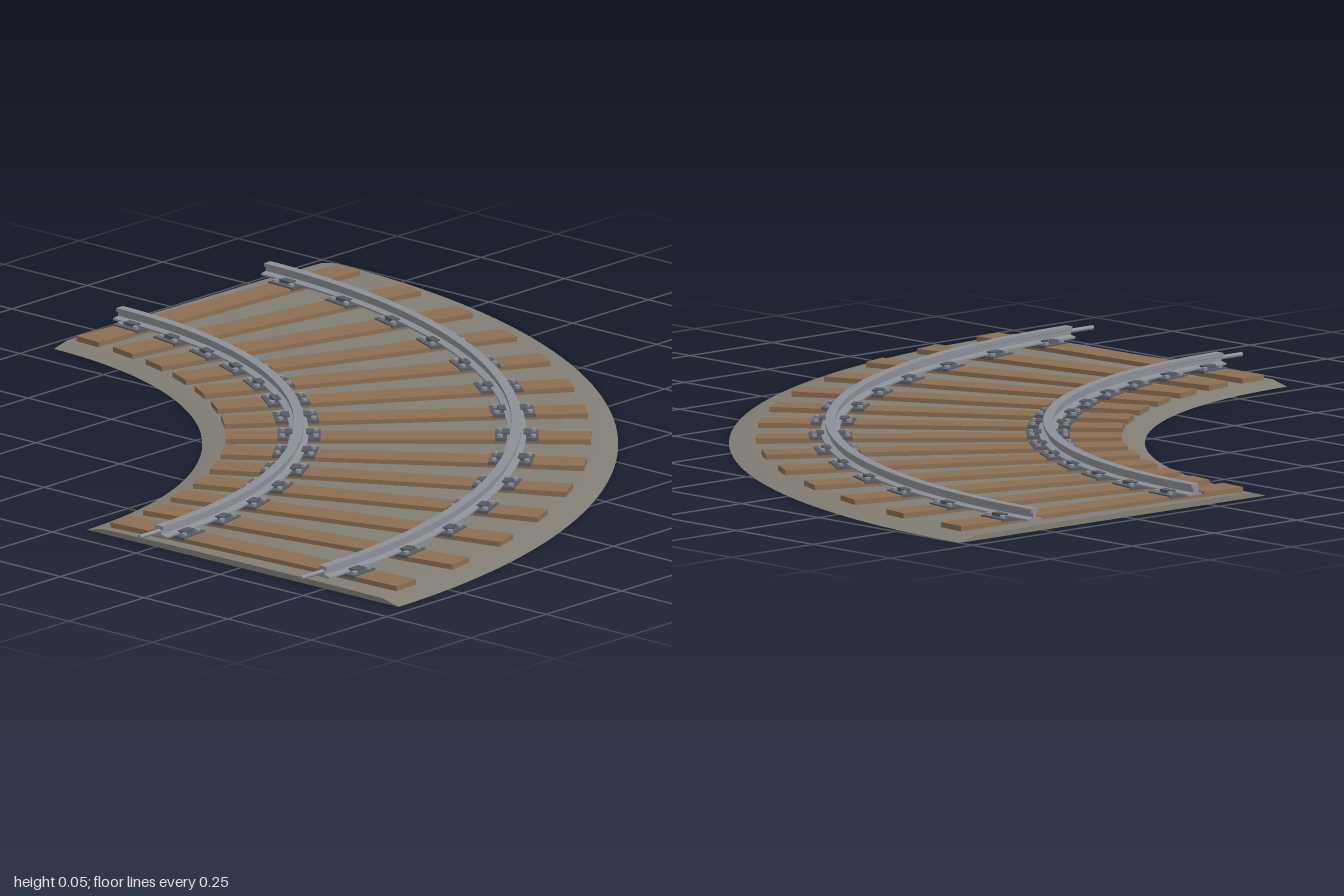
import * as THREE from 'three';
import { mergeGeometries, toCreasedNormals } from 'three/addons/utils/BufferGeometryUtils.js';

const START = 0.0115;
const END = Math.PI / 2 - START;
const RAILS = [1.24, 1.723];
const TIES = 14;

// Sweep a closed [radius, height] outline (counter-clockwise) around the curve and cap both ends
function sweep(outline, segments) {
  const pts = outline.map(([r, y]) => new THREE.Vector2(r, y));
  const body = new THREE.LatheGeometry([...pts, pts[0].clone()], segments, START, END - START);
  const caps = [START, END].map((angle, i) => {
    const cap = new THREE.ShapeGeometry(new THREE.Shape(pts));
    if (i === 1) cap.index.array.reverse();
    cap.computeVertexNormals();
    return cap.rotateY(angle - Math.PI / 2);
  });
  return toCreasedNormals(mergeGeometries([body, ...caps]), 0.5);
}

function box(w, h, d, x, y, z) {
  return new THREE.BoxGeometry(w, h, d).translate(x, y, z);
}

export function createModel() {
  const paint = (name, color) => {
    const m = new THREE.MeshStandardMaterial({ color });
    m.name = name;
    return m;
  };
  const gravel = paint('gravel grey', 0x827e75);
  const wood = paint('wood brown', 0x8c6f52);
  const steel = paint('rail steel', 0x8d9097);
  const iron = paint('dark iron', 0x565a63);

  const model = new THREE.Group();
  model.name = 'curvedTrack';
  const track = new THREE.Group();
  track.name = 'track';
  track.position.set(-0.948, 0, -0.98); // centre of the curve
  model.add(track);

  const add = (parent, name, geometry, material) => {
    const mesh = new THREE.Mesh(geometry, material);
    mesh.name = name;
    parent.add(mesh);
    return mesh;
  };

  // Ballast bed with sloping shoulders
  add(track, 'ballastBed', sweep([
    [1.025, 0], [1.948, 0], [1.9, 0.011], [1.7, 0.013], [1.27, 0.013], [1.07, 0.011],
  ], 64), gravel);

  // Rails: foot, web and head, with a joining pin at one end
  for (const r of RAILS) {
    const half = [[0.021, 0.025], [0.021, 0.029], [0.005, 0.032], [0.005, 0.041], [0.011, 0.043], [0.011, 0.051]];
    const outline = [
      ...half.map(([d, y]) => [r + d, y]),
      ...half.slice().reverse().map(([d, y]) => [r - d, y]),
    ];
    add(track, 'rail', sweep(outline, 64), steel);
    const pin = new THREE.CylinderGeometry(0.005, 0.005, 0.1, 10).rotateZ(Math.PI / 2);
    add(track, 'railPin', pin.translate(-0.002, 0.039, r), steel);
  }

  // Fastening at one rail: iron plate, two clips and four bolts
  const plates = RAILS.map((r) => box(0.096, 0.007, 0.076, r, 0.0225, 0));
  const clips = [];
  const bolts = [];
  for (const r of RAILS) {
    for (const side of [-1, 1]) {
      clips.push(box(0.018, 0.008, 0.034, r + side * 0.024, 0.029, 0));
      for (const z of [-0.024, 0.024]) {
        bolts.push(new THREE.CylinderGeometry(0.007, 0.007, 0.006, 6).translate(r + side * 0.037, 0.0285, z));
      }
    }
  }
  const plateGeo = mergeGeometries(plates);
  const clipGeo = mergeGeometries(clips);
  const boltGeo = mergeGeometries(bolts);
  const tieGeo = box(0.811, 0.015, 0.07, 1.4825, 0.0155, 0);

  // Ties fanned around the curve
  for (let i = 0; i < TIES; i++) {
    const angle = THREE.MathUtils.lerp(0.0625, Math.PI / 2 - 0.0625, i / (TIES - 1));
    const unit = new THREE.Group();
    unit.name = 'tieUnit';
    unit.rotation.y = angle - Math.PI / 2;
    add(unit, 'tie', tieGeo, wood);
    add(unit, 'railPlates', plateGeo, iron);
    add(unit, 'railClips', clipGeo, iron);
    add(unit, 'bolts', boltGeo, steel);
    track.add(unit);
  }
  return model;
}
